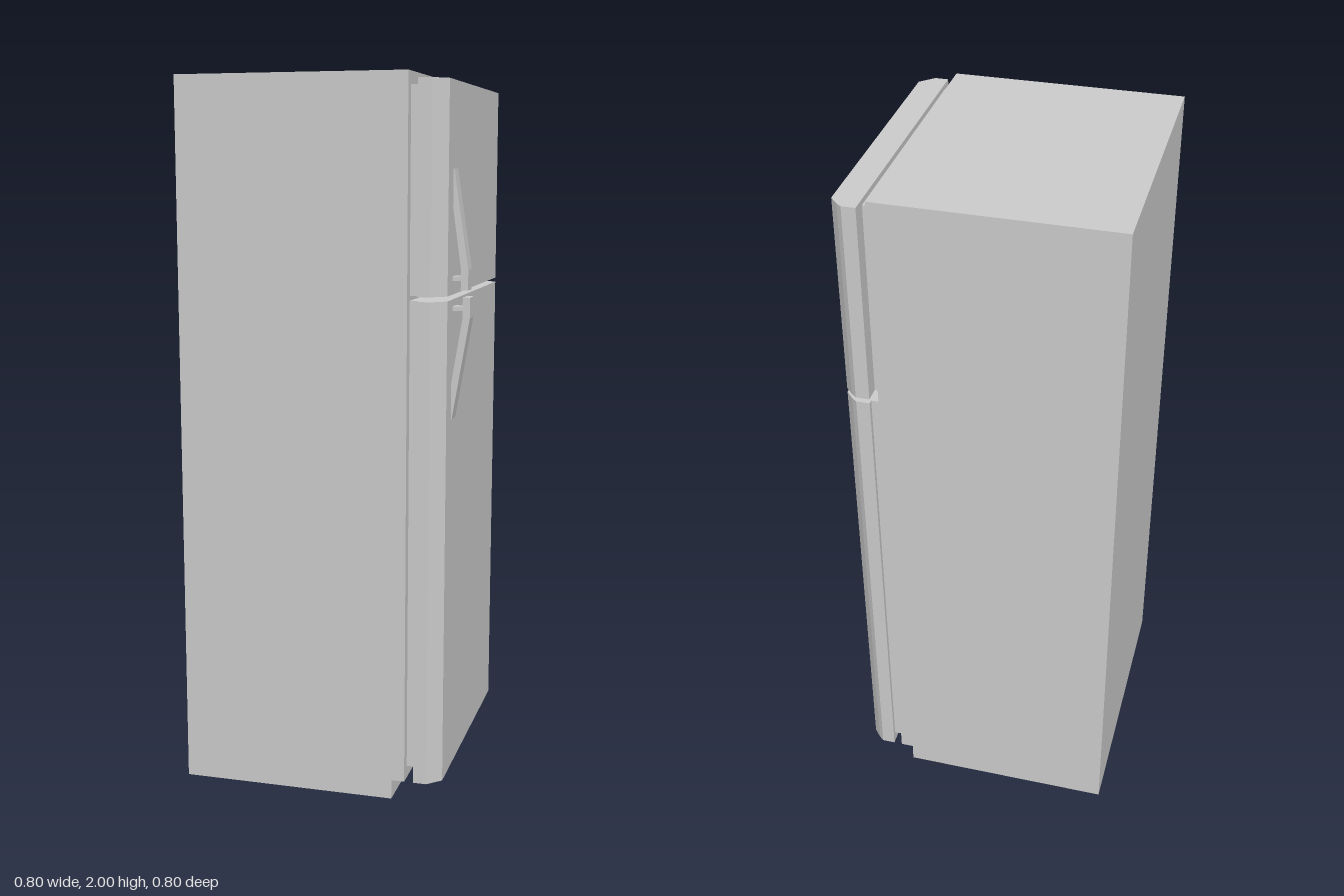
import * as THREE from 'three';

const material = new THREE.MeshStandardMaterial({ color: 0xcccccc, flatShading: true });

function shapeOf(points) {
  return new THREE.Shape(points.map(([a, b]) => new THREE.Vector2(a, b)));
}

function addMesh(parent, name, geometry) {
  const mesh = new THREE.Mesh(geometry, material);
  mesh.name = name;
  parent.add(mesh);
  return mesh;
}

// Side profile (x, y) extruded from z0 to z1
function extrudeSide(points, z0, z1) {
  return new THREE.ExtrudeGeometry(shapeOf(points), { depth: z1 - z0, bevelEnabled: false }).translate(0, 0, z0);
}

// Plan outline (x, z) extruded from y0 to y1
function extrudePlan(shape, y0, y1) {
  return new THREE.ExtrudeGeometry(shape, { depth: y1 - y0, bevelEnabled: false })
    .rotateX(Math.PI / 2).translate(0, y1, 0);
}

function boxBetween(x0, x1, y0, y1, z0, z1) {
  return new THREE.BoxGeometry(x1 - x0, y1 - y0, z1 - z0)
    .translate((x0 + x1) / 2, (y0 + y1) / 2, (z0 + z1) / 2);
}

export function createModel() {
  const group = new THREE.Group();
  group.name = 'refrigerator';

  // Cabinet above the recessed floor, stepped over the kick space
  addMesh(group, 'cabinet', extrudeSide(
    [[-0.4, 0.12], [0.213, 0.12], [0.213, 0.055], [0.25, 0.055], [0.25, 2], [-0.4, 2]], -0.4, 0.4));

  // Thin skirt around the open underside
  const skirt = shapeOf([[-0.4, -0.4], [0.213, -0.4], [0.213, 0.4], [-0.4, 0.4]]);
  const t = 0.003;
  skirt.holes.push(new THREE.Path([
    [-0.4 + t, -0.4 + t], [-0.4 + t, 0.4 - t], [0.213 - t, 0.4 - t], [0.213 - t, -0.4 + t],
  ].map(([x, z]) => new THREE.Vector2(x, z))));
  addMesh(group, 'baseSkirt', extrudePlan(skirt, 0, 0.12));

  // Doors with chamfered edges, each with a gasket behind it
  const doorPlan = shapeOf([[0.275, -0.4], [0.313, -0.4], [0.328, -0.388], [0.35, -0.363],
    [0.351, 0.363], [0.313, 0.4], [0.275, 0.4]]);
  const doors = [
    { name: 'freezerDoor', y: [1.416, 1.98], seal: [1.416, 1.965], back: -0.355 },
    { name: 'fridgeDoor', y: [0.055, 1.403], seal: [0.09, 1.403], back: -0.387 },
  ];
  for (const d of doors) {
    addMesh(group, d.name, extrudePlan(doorPlan, ...d.y));
    addMesh(group, d.name + 'Gasket', boxBetween(0.25, 0.275, ...d.seal, d.back, 0.37));
  }

  // Bent handles meeting at the gap; s = 1 goes up, s = -1 goes down
  const handles = [
    { name: 'freezerHandle', y: 1.428, s: 1, length: 0.322, tip: 0.394 },
    { name: 'fridgeHandle', y: 1.409, s: -1, length: 0.334, tip: 0.4 },
  ];
  for (const { name, y, s, length, tip } of handles) {
    const handle = new THREE.Group();
    handle.name = name;
    const profile = [[tip - 0.02, 0], [tip, 0], [tip, 0.055], [0.353, length], [0.349, length],
      [0.349, length - 0.09], [tip - 0.02, 0.055]].map(([x, h]) => [x, y + s * h]);
    addMesh(handle, 'bar', extrudeSide(profile, 0.252, 0.302));
    const post = y + s * 0.031;
    addMesh(handle, 'post', boxBetween(0.345, tip - 0.015, post - 0.006, post + 0.006, 0.256, 0.298));
    group.add(handle);
  }

  return group;
}
